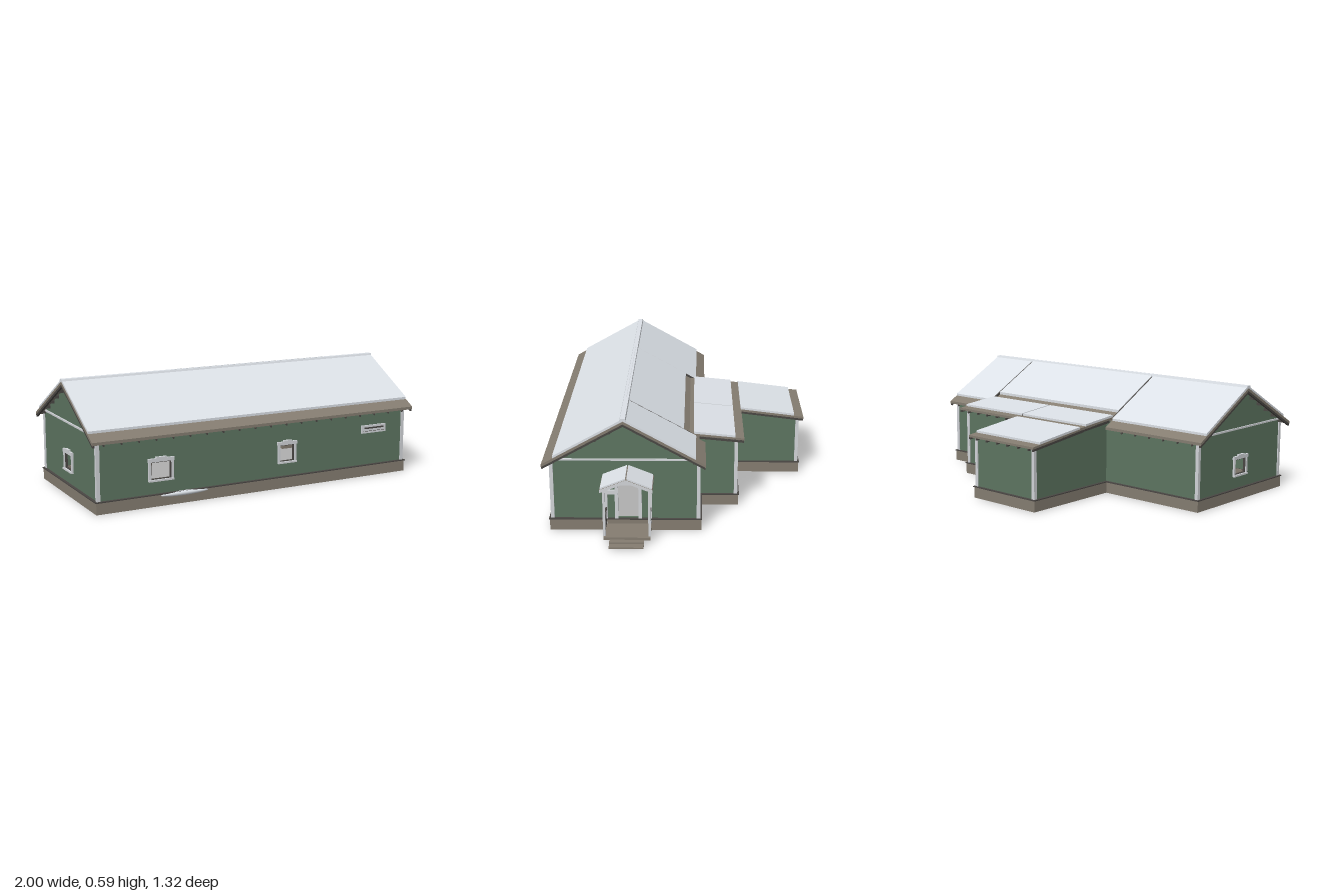
import * as THREE from 'three';

const mat = (name, color) => {
  const m = new THREE.MeshStandardMaterial({ color, side: THREE.DoubleSide });
  m.name = name;
  return m;
};

export function createModel() {
  const model = new THREE.Group();
  model.name = 'house';
  const green = mat('wall green', 0x5d7561);
  const stone = mat('foundation brown', 0x857d71);
  const snow = mat('roof white', 0xdde2e8);
  const trim = mat('trim grey', 0xd2d5d9);
  const dark = mat('dark timber', 0x4a4744);

  const add = (name, geo, m, parent = model) => {
    const mesh = new THREE.Mesh(geo, m);
    mesh.name = name;
    parent.add(mesh);
    return mesh;
  };
  // Box given by its limits
  const box = (name, m, x0, x1, y0, y1, z0, z1, parent) => {
    const b = add(name, new THREE.BoxGeometry(x1 - x0, y1 - y0, z1 - z0), m, parent);
    b.position.set((x0 + x1) / 2, (y0 + y1) / 2, (z0 + z1) / 2);
    return b;
  };
  const toShape = (pts, holes = []) => {
    const s = new THREE.Shape(pts.map(p => new THREE.Vector2(...p)));
    for (const [a, b, c, d] of holes)
      s.holes.push(new THREE.Path([[a, c], [a, d], [b, d], [b, c]].map(p => new THREE.Vector2(...p))));
    return s;
  };
  const extrude = (shape, depth) => new THREE.ExtrudeGeometry(shape, { depth, bevelEnabled: false });
  // Profile in (z, y) drawn out along x
  const prism = (name, m, pts, x0, x1, holes) => {
    const g = extrude(toShape(pts, holes), x1 - x0);
    g.rotateY(-Math.PI / 2);
    g.translate(x1, 0, 0);
    return add(name, g, m);
  };
  // Sloping slab between two (z, y) points on its underside
  const slab = (name, m, z0, y0, z1, y1, t, x0, x1) =>
    prism(name, m, [[z0, y0], [z1, y1], [z1, y1 + t], [z0, y0 + t]], x0, x1);
  // Wall facing the front or back
  const wallZ = (name, x0, x1, y1, z0, holes) => {
    const g = extrude(toShape([[x0, 0.06], [x1, 0.06], [x1, y1], [x0, y1]], holes), 0.01);
    g.translate(0, 0, z0);
    add(name, g, green);
  };

  // Footprint of the main hall and the two rear wings
  const plan = [[0.77, 0.62], [0.77, -0.1], [0.47, -0.1], [0.47, -0.29], [0.03, -0.29],
    [0.03, -0.635], [-0.38, -0.635], [-0.38, -0.1], [-0.965, -0.1], [-0.965, 0.62]];
  const offset = d => plan.map((p, i) => {
    const n = plan.length, a = plan[(i + n - 1) % n], b = plan[(i + 1) % n];
    const normal = (u, v) => [-Math.sign(v[1] - u[1]), Math.sign(v[0] - u[0])];
    const n1 = normal(a, p), n2 = normal(p, b);
    return new THREE.Vector2(p[0] + d * (n1[0] + n2[0]), -(p[1] + d * (n1[1] + n2[1])));
  });
  const ring = (name, m, outer, inner, y0, y1) => {
    const s = new THREE.Shape(offset(outer));
    s.holes.push(new THREE.Path(offset(inner)));
    const g = extrude(s, y1 - y0);
    g.rotateX(-Math.PI / 2);
    g.translate(0, y0, 0);
    add(name, g, m);
  };
  ring('foundation', stone, 0.01, -0.012, 0, 0.056);
  ring('foundationCap', dark, 0.014, -0.002, 0.056, 0.061);

  // Walls
  const RZ = 0.265, SL = 0.557, roofY = z => 0.558 - SL * Math.abs(z - RZ);
  const gable = [[0.62, 0.06], [0.62, roofY(0.62)], [RZ, roofY(RZ)], [-0.1, roofY(-0.1)], [-0.1, 0.06]];
  const endWindow = [0.205, 0.305, 0.13, 0.215];
  prism('rightEndWall', green, gable, 0.76, 0.77, [[0.195, 0.297, 0.065, 0.24]]);
  prism('leftEndWall', green, gable, -0.965, -0.955, [endWindow]);
  wallZ('frontWall', -0.965, 0.77, 0.357, 0.61,
    [[-0.698, -0.585, 0.13, 0.222], [0.01, 0.098, 0.135, 0.226]]);
  wallZ('backWallLeft', 0.47, 0.77, 0.352, -0.1);
  wallZ('backWallRight', -0.965, -0.38, 0.352, -0.1);
  wallZ('middleWingBack', 0.03, 0.47, 0.364, -0.29, [[0.165, 0.27, 0.135, 0.222]]);
  wallZ('rearWingBack', -0.38, 0.03, 0.32, -0.635);
  const midSide = [[-0.1, 0.06], [-0.1, 0.383], [-0.29, 0.363], [-0.29, 0.06]];
  const rearSide = [[-0.29, 0.06], [-0.29, 0.362], [-0.635, 0.32], [-0.635, 0.06]];
  prism('middleWingSide', green, midSide, 0.46, 0.47);
  prism('middleWingSide', green, midSide, -0.38, -0.37);
  prism('rearWingSide', green, rearSide, 0.02, 0.03);
  prism('rearWingSide', green, rearSide, -0.38, -0.37);

  // Corner boards
  for (const [x, z, h] of [[0.77, 0.62, 0.35], [0.77, -0.1, 0.35], [0.47, -0.29, 0.36], [0.03, -0.635, 0.32],
    [-0.38, -0.635, 0.32], [-0.965, -0.1, 0.35], [-0.965, 0.62, 0.35]]) {
    const sx = x === -0.38 || x === -0.965 ? -1 : 1, sz = z > 0 ? 1 : -1;
    const cx = x - sx * 0.004, cz = z - sz * 0.004;
    box('cornerBoard', trim, cx - 0.009, cx + 0.009, 0.061, h, cz - 0.009, cz + 0.009);
  }
  // Trim bands below the eaves and across both gables
  box('frontTrim', trim, -0.965, 0.77, 0.336, 0.356, 0.615, 0.626);
  for (const x of [0.77, -0.972])
    box('gableTrim', trim, x, x + 0.007, 0.364, 0.373, -0.085, 0.61);

  // Main roof: brown deck with white panels on top
  const deck = (name, z1, x0, x1) => slab(name, stone, RZ, roofY(RZ), z1, roofY(z1), 0.014, x0, x1);
  deck('frontRoofDeck', 0.66, -1, 0.8);
  deck('backRoofDeck', -0.13, -1, -0.4);
  deck('backRoofDeck', -0.07, -0.4, 0.5);
  deck('backRoofDeck', -0.13, 0.5, 0.8);
  const panel = (z1, x0, x1, t) => slab('roofPanel', snow, RZ, roofY(RZ) + 0.014, z1, roofY(z1) + 0.014, t, x0, x1);
  panel(0.605, -0.998, 0.798, 0.012);
  panel(-0.082, -0.998, -0.404, 0.012);
  panel(-0.022, -0.395, 0.494, 0.014);
  panel(-0.082, 0.504, 0.798, 0.012);
  for (const x of [-0.4, 0.499])
    slab('roofJoint', dark, 0.245, roofY(0.245) + 0.012, -0.07, roofY(-0.07) + 0.012, 0.012, x - 0.005, x + 0.005);
  prism('ridgeCap', snow, [[RZ + 0.016, 0.574], [RZ + 0.012, 0.585], [RZ - 0.012, 0.585], [RZ - 0.016, 0.574]], -1, 0.8);

  // Barge boards and purlin ends at the gables
  for (const [x0, x1, out0, out1] of [[0.788, 0.799, 0.765, 0.79], [-0.999, -0.988, -0.99, -0.96]]) {
    for (const z1 of [0.658, -0.128])
      slab('bargeBoard', dark, RZ, roofY(RZ) - 0.012, z1, roofY(z1) - 0.012, 0.014, x0, x1);
    for (let i = -5; i <= 5; i++) {
      const z = RZ + i * 0.068, y = roofY(z);
      box('purlinEnd', dark, out0, out1, y - 0.016, y - 0.001, z - 0.006, z + 0.006);
    }
  }
  // Rafter tails along the eaves
  for (let i = 0; i < 20; i++) {
    const x = -0.94 + i * 0.0885;
    slab('rafterTail', dark, 0.61, roofY(0.61) - 0.016, 0.652, roofY(0.652) - 0.016, 0.015, x - 0.004, x + 0.004);
    if (x < -0.41 || x > 0.5)
      slab('rafterTail', dark, -0.09, roofY(-0.09) - 0.016, -0.122, roofY(-0.122) - 0.016, 0.015, x - 0.004, x + 0.004);
  }

  // Wing roofs
  slab('middleRoofDeck', stone, -0.05, 0.386, -0.325, 0.36, 0.012, -0.4, 0.497);
  for (const [x0, x1] of [[-0.397, 0.05], [0.058, 0.494]])
    slab('middleRoofPanel', snow, -0.071, 0.396, -0.28, 0.376, 0.011, x0, x1);
  slab('middleRoofJoint', dark, -0.071, 0.396, -0.28, 0.376, 0.005, 0.05, 0.058);
  slab('rearRoofDeck', stone, -0.29, 0.361, -0.662, 0.316, 0.011, -0.4, 0.056);
  slab('rearRoofPanel', snow, -0.322, 0.368, -0.612, 0.333, 0.011, -0.397, 0.052);
  for (const x of [-0.4, 0.046])
    slab('rearBargeBoard', dark, -0.3, 0.349, -0.66, 0.305, 0.013, x, x + 0.01);
  for (const x of [-0.4, 0.487])
    slab('middleBargeBoard', dark, -0.1, 0.37, -0.322, 0.349, 0.013, x, x + 0.01);
  for (let i = 0; i < 6; i++) {
    const x = -0.36 + i * 0.074;
    slab('rafterTail', dark, -0.63, 0.306, -0.655, 0.303, 0.014, x - 0.004, x + 0.004);
    slab('rafterTail', dark, -0.285, 0.35, -0.318, 0.347, 0.014, x + 0.43 - 0.004, x + 0.43 + 0.004);
  }

  // Window casing, built facing +z around a w by h opening
  const windowFrame = (x, y, z, w, h, turn) => {
    const g = new THREE.Group();
    g.name = 'window';
    const a = w / 2, b = h / 2;
    for (const s of [-1, 1]) {
      box('windowSide', trim, s * (a + 0.003) - 0.006, s * (a + 0.003) + 0.006, -b, b, -0.004, 0.009, g);
      box('sashSide', dark, s * (a - 0.005) - 0.002, s * (a - 0.005) + 0.002, -b, b, -0.008, 0.004, g);
    }
    box('windowHead', trim, -a - 0.012, a + 0.012, b - 0.004, b + 0.013, -0.004, 0.011, g);
    box('windowCap', trim, -a * 0.5, a * 0.5, b + 0.013, b + 0.02, 0, 0.013, g);
    box('windowSill', trim, -a - 0.009, a + 0.009, -b - 0.007, -b + 0.002, -0.004, 0.014, g);
    box('sashTop', dark, -a, a, b - 0.008, b - 0.004, -0.008, 0.004, g);
    box('sashBottom', dark, -a, a, -b + 0.002, -b + 0.005, -0.008, 0.004, g);
    g.position.set(x, y, z);
    g.rotation.y = turn;
    model.add(g);
  };
  windowFrame(-0.6415, 0.176, 0.62, 0.113, 0.092, 0);
  windowFrame(0.054, 0.18, 0.62, 0.088, 0.091, 0);
  windowFrame(0.2175, 0.178, -0.29, 0.105, 0.087, Math.PI);
  windowFrame(-0.965, 0.1725, 0.255, 0.1, 0.085, -Math.PI / 2);

  // Blank wall plates and a drift on the front ledge
  box('frontPlate', trim, 0.505, 0.655, 0.229, 0.271, 0.62, 0.628);
  box('frontPlateBand', dark, 0.515, 0.645, 0.239, 0.241, 0.628, 0.629);
  box('frontPlateBand', dark, 0.52, 0.64, 0.252, 0.26, 0.628, 0.629);
  box('doorPlate', trim, 0.77, 0.784, 0.19, 0.211, 0.298, 0.348);
  const drift = add('snowDrift', new THREE.SphereGeometry(1, 20, 10), snow);
  drift.scale.set(0.13, 0.012, 0.013);
  drift.position.set(-0.52, 0.05, 0.628);

  // Door casing
  for (const z of [0.188, 0.303])
    box('doorSide', trim, 0.762, 0.781, 0.061, 0.25, z - 0.008, z + 0.008);
  box('doorHead', trim, 0.762, 0.783, 0.238, 0.256, 0.18, 0.312);

  // Porch
  const PZ = 0.245;
  box('porchFloor', stone, 0.775, 0.935, 0.02, 0.034, 0.133, 0.357);
  box('upperStep', stone, 0.935, 0.965, 0.015, 0.023, 0.163, 0.328);
  box('lowerStep', stone, 0.96, 1, 0.007, 0.014, 0.163, 0.328);
  for (const s of [-1, 1]) {
    const z = PZ + s * 0.108;
    box('porchPost', trim, 0.909, 0.921, 0.034, 0.288, z - 0.006, z + 0.006);
    box('wallPost', trim, 0.77, 0.78, 0.034, 0.288, z - 0.006, z + 0.006);
    box('porchBeam', trim, 0.77, 0.94, 0.276, 0.287, z - 0.006, z + 0.006);
    box('handRail', dark, 0.78, 0.91, 0.114, 0.121, z - 0.004, z + 0.004);
    box('lowerRail', dark, 0.78, 0.91, 0.046, 0.052, z - 0.003, z + 0.003);
    for (let i = 0; i < 5; i++) {
      const x = 0.796 + i * 0.0245;
      box('baluster', dark, x - 0.002, x + 0.002, 0.034, 0.114, z - 0.002, z + 0.002);
    }
    slab('porchRoofDeck', stone, PZ, 0.327, PZ + s * 0.125, 0.277, 0.009, 0.775, 0.945);
    slab('porchRoofPanel', snow, PZ + s * 0.003, 0.335, PZ + s * 0.122, 0.287, 0.008, 0.777, 0.943);
    slab('porchBargeBoard', trim, PZ, 0.32, PZ + s * 0.125, 0.27, 0.015, 0.938, 0.947);
  }
  return model;
}
